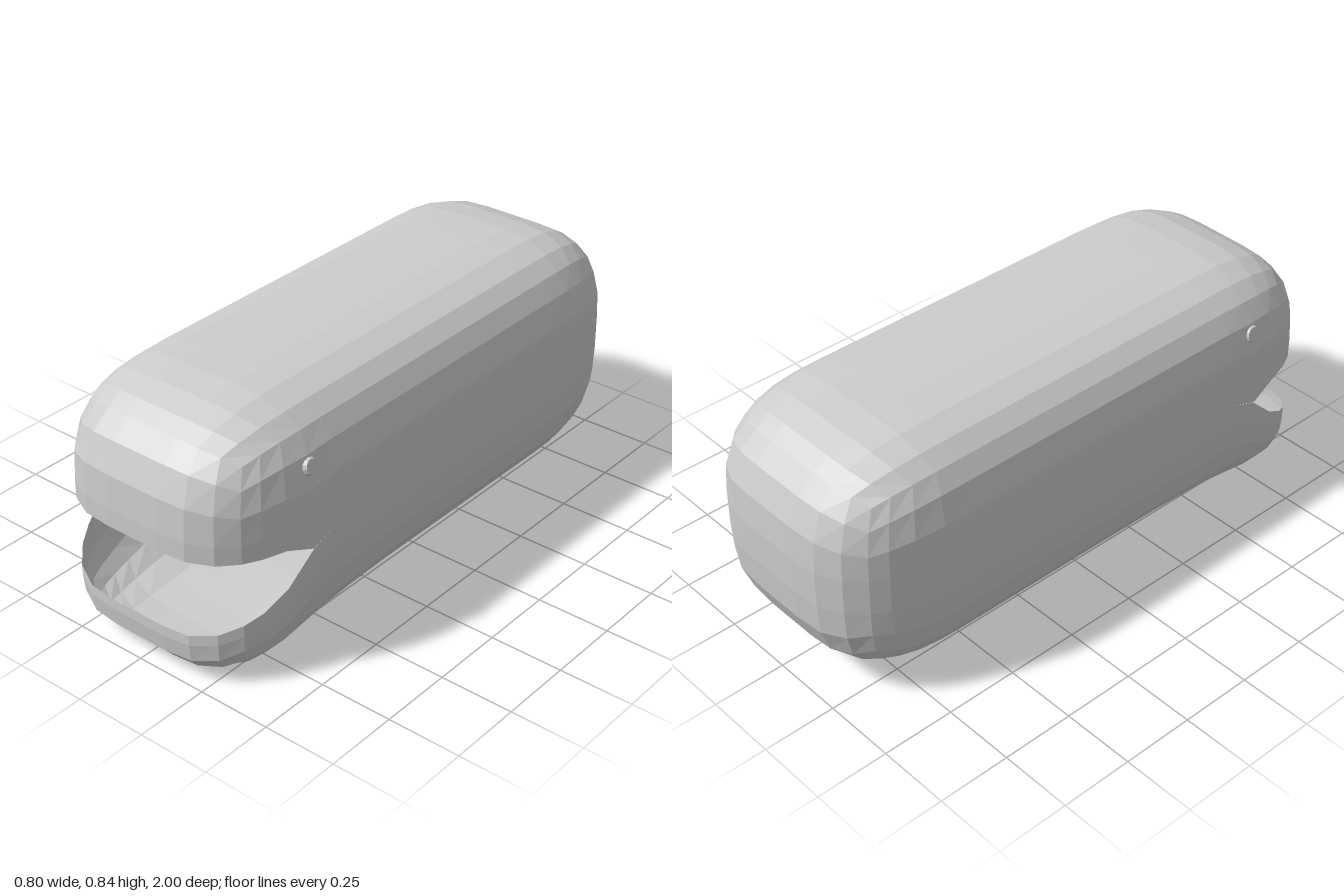
import * as THREE from 'three';

const HALF = [0.4, 0.4025, 1];      // half sizes of the body
const ROUND = [0.3, 0.34, 0.45];    // corner radii per axis
const CORNER = [3, 3, 4];           // segments in each rounded corner
const MIDDLE = [2, 2, 8];           // segments in the straight middle
const CENTER_Y = 0.4425;
const BOTTOM_Y = 0.04;

// Heights of the two lips along z
const UPPER_LIP = [[0.55, 0.4425], [0.661, 0.4], [0.69, 0.425], [0.763, 0.44], [0.85, 0.4425]];
const LOWER_LIP = [[0.55, 0.4425], [0.661, 0.4], [0.69, 0.36], [0.763, 0.305], [0.85, 0.25], [1, 0.178]];

function heightAt(points, z) {
  if (z <= points[0][0]) return points[0][1];
  for (let i = 1; i < points.length; i++) {
    const [z0, y0] = points[i - 1];
    const [z1, y1] = points[i];
    if (z <= z1) return y0 + (y1 - y0) * (z - z0) / (z1 - z0);
  }
  return points[points.length - 1][1];
}

// Grid positions along one axis: rounded corner, straight middle, rounded corner
function knots(axis) {
  const h = HALF[axis], r = ROUND[axis], c = CORNER[axis], m = MIDDLE[axis];
  const list = [];
  for (let i = 0; i < c; i++) list.push(-h + r * i / c);
  for (let i = 0; i <= m; i++) list.push((h - r) * (2 * i / m - 1));
  for (let i = 1; i <= c; i++) list.push(h - r + r * i / c);
  return list;
}

// Pushes a point of the box surface onto a soft rounded box
function soften(p) {
  const inner = p.map((v, a) => THREE.MathUtils.clamp(v, ROUND[a] - HALF[a], HALF[a] - ROUND[a]));
  const d = p.map((v, a) => (v - inner[a]) / ROUND[a]);
  const n = 2.7;
  const len = Math.pow(d.reduce((s, v) => s + Math.pow(Math.abs(v), n), 0), 1 / n) || 1;
  return inner.map((v, a) => v + d[a] / len * ROUND[a]);
}

// Half of the hollow body, open along the mouth seam
function halfBody(upper) {
  const grid = [0, 1, 2].map(knots);
  const segs = [grid[0].length - 1, (grid[1].length - 1) / 2, grid[2].length - 1];
  const geo = new THREE.BoxGeometry(...segs, ...segs);
  const cap = geo.groups[upper ? 3 : 2];
  geo.setIndex(Array.from(geo.index.array).filter((_, i) => i < cap.start || i >= cap.start + cap.count));
  geo.clearGroups();

  const pos = geo.attributes.position;
  for (let i = 0; i < pos.count; i++) {
    const raw = [pos.getX(i), pos.getY(i), pos.getZ(i)].map((v, a) => {
      const k = Math.round(v + segs[a] / 2) + (a === 1 && upper ? segs[1] : 0);
      return grid[a][k];
    });
    let [x, y, z] = soften(raw);
    if (upper) {
      // Slight dip of the lip at the mouth corner
      const t = y / HALF[1];
      y = CENTER_Y + y + (heightAt(UPPER_LIP, z) - CENTER_Y) * Math.pow(1 - t, 2);
    } else {
      // Lower jaw hangs open towards the front
      const t = 1 + y / HALF[1];
      const u = Math.max(0, (z - 0.2) / 0.8);
      y = Math.max(0, THREE.MathUtils.lerp(BOTTOM_Y - 0.09 * u * u, heightAt(LOWER_LIP, z), t));
    }
    pos.setXYZ(i, x, y, z);
  }
  const flat = geo.toNonIndexed();
  flat.computeVertexNormals();
  return flat;
}

export function createModel() {
  const model = new THREE.Group();
  model.name = 'openMouthedCreature';

  const skin = new THREE.MeshStandardMaterial({
    color: 0xcccccc, flatShading: true, side: THREE.DoubleSide,
  });
  skin.name = 'grey skin';

  // Hollow body shell
  for (const upper of [true, false]) {
    const mesh = new THREE.Mesh(halfBody(upper), skin);
    mesh.name = upper ? 'upperBody' : 'lowerBodyAndJaw';
    model.add(mesh);
  }

  // Small bevelled eyes on both sides
  for (const side of [1, -1]) {
    const eye = new THREE.Mesh(new THREE.CylinderGeometry(0.024, 0.033, 0.016, 12), skin);
    eye.name = side > 0 ? 'leftEye' : 'rightEye';
    eye.position.set(side * 0.377, 0.668, 0.65);
    eye.rotation.z = -side * (Math.PI / 2 - 0.26);
    model.add(eye);
  }
  return model;
}
